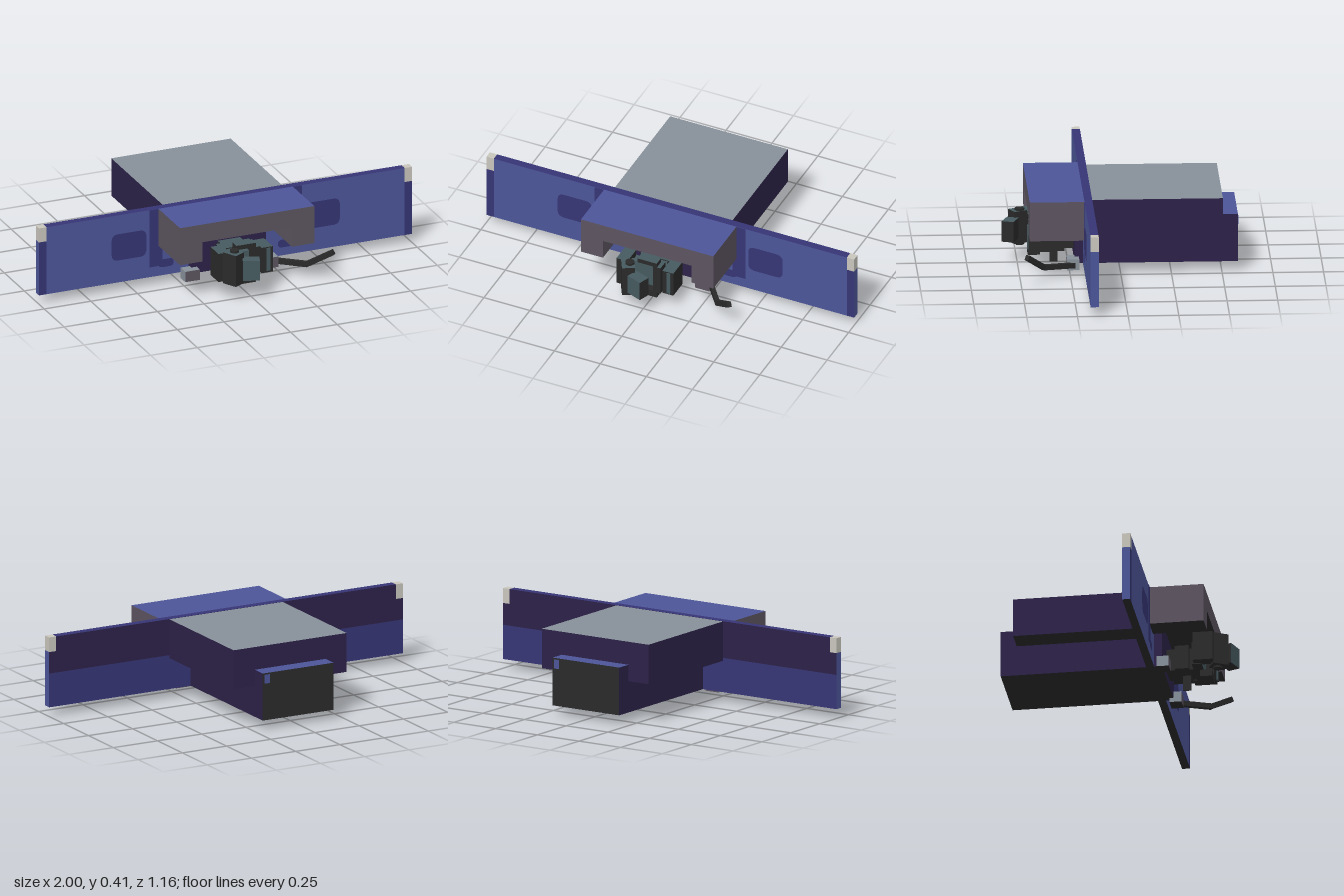
import * as THREE from 'three';

const mat = (name, color) => {
  const m = new THREE.MeshStandardMaterial({ color });
  m.name = name;
  return m;
};

export function createModel() {
  const model = new THREE.Group();
  model.name = 'endBeamWithCoupler';
  const blue = mat('blue', 0x4c5599), navy = mat('navy', 0x363575), purple = mat('darkPurple', 0x2d2249);
  const grey = mat('lightGrey', 0x87909a), taupe = mat('taupe', 0x5c5460), cream = mat('cream', 0xc8c6bc);
  const black = mat('nearBlack', 0x2a2a2a), teal = mat('darkTeal', 0x465a60);

  // Box from its extents; m is one material or six (+x -x +y -y +z -z)
  function box(name, [x0, x1], [y0, y1], [z0, z1], m, parent = model) {
    const mesh = new THREE.Mesh(new THREE.BoxGeometry(x1 - x0, y1 - y0, z1 - z0), m);
    mesh.position.set((x0 + x1) / 2, (y0 + y1) / 2, (z0 + z1) / 2);
    mesh.name = name;
    parent.add(mesh);
    return mesh;
  }

  // Painted patch with rounded corners on the front of the beam
  function patch(name, x0, x1, y0, y1, r) {
    const s = new THREE.Shape();
    s.moveTo(x0 + r, y0).lineTo(x1 - r, y0).quadraticCurveTo(x1, y0, x1, y0 + r);
    s.lineTo(x1, y1 - r).quadraticCurveTo(x1, y1, x1 - r, y1);
    s.lineTo(x0 + r, y1).quadraticCurveTo(x0, y1, x0, y1 - r);
    s.lineTo(x0, y0 + r).quadraticCurveTo(x0, y0, x0 + r, y0);
    const mesh = new THREE.Mesh(new THREE.ShapeGeometry(s, 4), navy);
    mesh.position.z = 0.187;
    mesh.name = name;
    model.add(mesh);
  }

  // Wide beam, split where the paint changes on the back
  const beamZ = [0.145, 0.185];
  box('beamLower', [-0.96, 0.96], [0.047, 0.22], beamZ, [blue, blue, navy, black, blue, navy]);
  box('beamUpper', [-0.96, 0.96], [0.22, 0.405], beamZ, [blue, blue, navy, black, blue, purple]);
  for (const s of [-1, 1]) {
    const endX = s > 0 ? [0.96, 1] : [-1, -0.96];
    box('beamEndLower', endX, [0.047, 0.22], beamZ, [blue, blue, navy, black, navy, navy]);
    box('beamEndMiddle', endX, [0.22, 0.33], beamZ, [blue, blue, navy, black, navy, purple]);
    box('beamEndCap', endX, [0.33, 0.405], beamZ, cream);

    // Painted recesses
    const span = (a, b) => (s > 0 ? [a, b] : [-b, -a]);
    patch('ovalRecess', ...span(0.425, 0.612), 0.165, 0.305, 0.035);
    patch('smallRecess', ...span(0.28, 0.36), 0.09, 0.132, 0.02);
    patch('hoodShade', ...span(0.34, 0.41), 0.1, 0.405, 0.004);

    // Hood cheeks and small steps
    box('hoodCheek', span(0.24, 0.36), [0.207, 0.31], [0.185, 0.455], [taupe, taupe, blue, black, taupe, taupe]);
    box('step', span(0.172, 0.25), [0.025, 0.08], [0.205, 0.265], [grey, grey, grey, black, taupe, taupe]);
  }
  box('hoodTop', [-0.36, 0.36], [0.31, 0.405], [0.185, 0.455], [taupe, taupe, blue, black, taupe, taupe]);

  // Rear bodies
  box('upperBody', [-0.32, 0.32], [0.205, 0.404], [-0.5, 0.145], [purple, purple, grey, black, purple, purple]);
  box('lowerBody', [-0.2, 0.2], [0.047, 0.288], [-0.58, 0.225], [purple, purple, blue, black, purple, black]);
  box('rearMark', [0.16, 0.19], [0.235, 0.28], [-0.582, -0.578], blue);

  // Coupler
  const coupler = new THREE.Group();
  coupler.name = 'coupler';
  model.add(coupler);
  const metal = [black, black, teal, black, black, black];
  const metalFront = [black, black, teal, black, teal, black];
  box('shank', [-0.06, 0.06], [0.085, 0.2], [0.225, 0.4], metal, coupler);
  box('shankCollar', [-0.09, 0.09], [0.08, 0.205], [0.27, 0.34], metal, coupler);
  box('headBack', [-0.12, 0.11], [0.085, 0.205], [0.36, 0.41], metalFront, coupler);
  box('leftJaw', [0.08, 0.14], [0.09, 0.225], [0.34, 0.45], metal, coupler);
  box('leftJawFace', [0.105, 0.125], [0.1, 0.22], [0.45, 0.456], teal, coupler);
  box('rightJaw', [-0.16, -0.1], [0.09, 0.24], [0.37, 0.47], metal, coupler);
  box('innerGuard', [0.03, 0.07], [0.08, 0.235], [0.39, 0.45], metal, coupler);
  box('upperLug', [-0.055, 0.05], [0.235, 0.258], [0.4, 0.45], metal, coupler);
  box('lowerLug', [-0.05, 0.05], [0.05, 0.085], [0.39, 0.45], black, coupler);
  const knuckle = box('knuckle', [-0.12, -0.055], [0.08, 0.245], [0.45, 0.53], metal, coupler);
  knuckle.rotation.y = 0.5;
  const nose = box('knuckleNose', [-0.055, 0.03], [0.11, 0.215], [0.504, 0.564], metalFront, coupler);
  nose.rotation.y = -0.36;
  const pin = new THREE.Mesh(new THREE.CylinderGeometry(0.024, 0.024, 0.185, 8), metal[0]);
  pin.position.set(-0.08, 0.163, 0.485);
  pin.name = 'knucklePin';
  coupler.add(pin);
  box('hangingTab', [-0.003, 0.003], [0, 0.09], [0.3, 0.34], black, coupler);

  // Bent release lever, made of straight bars
  const path = [[0.24, 0.048, 0.23], [0.35, 0.07, 0.385], [0.452, 0.148, 0.47]].map(p => new THREE.Vector3(...p));
  for (let i = 0; i < 2; i++) {
    const [a, b] = [path[i], path[i + 1]];
    const bar = new THREE.Mesh(new THREE.BoxGeometry(0.022, 0.026, a.distanceTo(b) + 0.01), black);
    bar.position.copy(a).lerp(b, 0.5);
    bar.lookAt(b);
    bar.name = 'releaseLever';
    model.add(bar);
  }
  return model;
}
